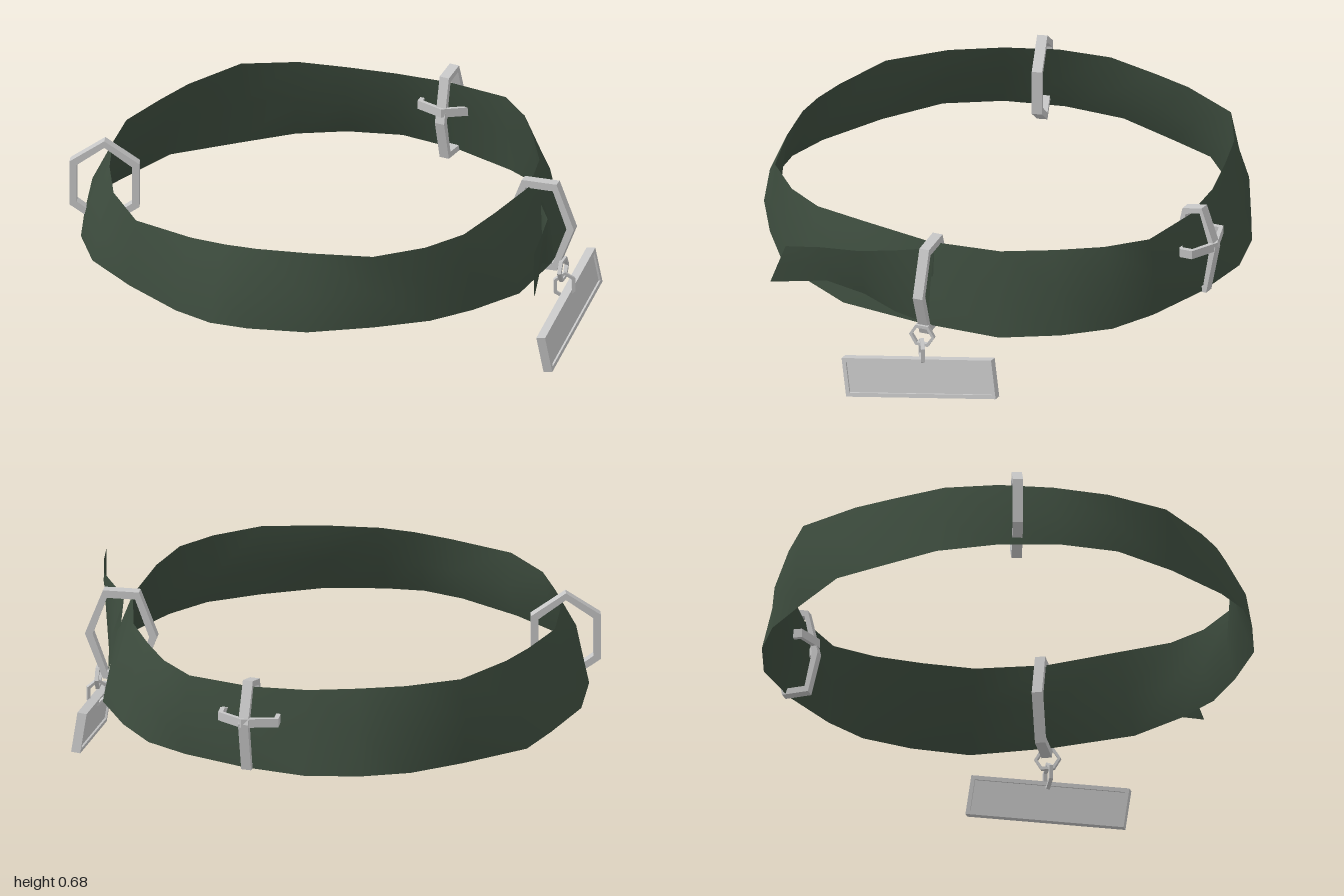
import * as THREE from 'three';

const strap = new THREE.MeshStandardMaterial({ color: 0x3c4b3d });
strap.name = 'dark green fabric';
strap.side = THREE.DoubleSide;
const metal = new THREE.MeshStandardMaterial({ color: 0xc6c6c6 });
metal.name = 'light grey metal';

// Cloth strip from sections [top, outer middle, bottom, inner middle]; outside and inside are smoothed apart.
function clothStrip(name, sections, closed) {
  const pos = [], index = [], n = sections.length;
  for (const [top, out, bottom, inn] of sections)
    for (const p of [top, out, bottom, top, inn, bottom]) pos.push(...p);
  for (let i = 0; i < (closed ? n : n - 1); i++) {
    const a = i * 6, b = ((i + 1) % n) * 6;
    for (const j of [0, 1]) {
      index.push(a + j, b + j, a + j + 1, b + j, b + j + 1, a + j + 1);
      const k = j + 3;
      index.push(a + k, a + k + 1, b + k, b + k, a + k + 1, b + k + 1);
    }
  }
  const g = new THREE.BufferGeometry();
  g.setAttribute('position', new THREE.Float32BufferAttribute(pos, 3));
  g.setIndex(index);
  g.computeVertexNormals();
  const mesh = new THREE.Mesh(g, strap);
  mesh.name = name;
  return mesh;
}

// Flat frame from an outline, with a hole inset by about w, centred on its depth.
function frame(name, pts, w, depth) {
  const shape = new THREE.Shape(pts.map(p => new THREE.Vector2(...p)));
  const xs = pts.map(p => p[0]), ys = pts.map(p => p[1]);
  const x0 = Math.min(...xs), x1 = Math.max(...xs), y0 = Math.min(...ys), y1 = Math.max(...ys);
  const cx = (x0 + x1) / 2, cy = (y0 + y1) / 2;
  const sx = 1 - 2 * w / (x1 - x0), sy = 1 - 2 * w / (y1 - y0);
  shape.holes.push(new THREE.Path(pts.map(([x, y]) =>
    new THREE.Vector2(cx + (x - cx) * sx, cy + (y - cy) * sy)).reverse()));
  const g = new THREE.ExtrudeGeometry(shape, { depth, bevelEnabled: false });
  g.translate(0, 0, -depth / 2);
  const mesh = new THREE.Mesh(g, metal);
  mesh.name = name;
  return mesh;
}

// Six corners of a stretched hexagon.
const hexagon = (rx, ry, turn = 0) => Array.from({ length: 6 }, (_, i) => {
  const a = turn + i * Math.PI / 3;
  return [rx * Math.cos(a), ry * Math.sin(a)];
});

export function createModel() {
  const model = new THREE.Group();
  model.name = 'collar';

  // Band: angle in degrees from +x towards +z, radius of top edge, radius of bottom edge
  const stations = [
    [0, .79, .88], [21, .80, .92], [36, .855, .915], [48, .875, .92], [62, .89, .91],
    [78, .85, .94], [92, .85, .955], [101, .855, .97], [111, .865, .955], [128, .91, .94],
    [144, .885, .97], [158, .86, .97], [172, .86, .97], [186, .87, .975], [201, .855, .955],
    [212, .87, .975], [229, .915, .93], [243, .88, .945], [255, .845, .95], [268, .84, .95],
    [283, .855, .92], [300, .885, .91], [312, .845, .92], [325, .80, .905], [340, .79, .91],
  ];
  const bandSections = stations.map(([deg, rt, rb]) => {
    const a = deg * Math.PI / 180, s = Math.sin(a);
    const yt = .643 + .012 * Math.sin(2 * a + .4) + .005 * Math.sin(5 * a);
    const yb = .338 + .022 * s + .008 * Math.sin(3 * a);
    const rm = (rt + rb) / 2, t = .016, fold = .012 * Math.sin(5 * a);
    const at = (r, y) => [r * Math.cos(a), y, r * s];
    return [at(rt, yt), at(rm + t + fold, .49), at(rb, yb), at(rm - t + fold, .49)];
  });
  model.add(clothStrip('band', bandSections, true));

  // Loose end: top corner and bottom corner of each section
  const tailEdges = [
    [[.82, .64, -.03], [.88, .34, -.03]],
    [[.87, .63, .1], [.90, .38, .1]],
    [[.94, .635, .23], [.915, .44, .22]],
    [[.965, .635, .38], [.955, .49, .36]],
    [[.98, .62, .52], [1.0, .465, .575]],
  ];
  const tailSections = tailEdges.map(([t, b], i) => {
    const mid = t.map((v, k) => (v + b[k]) / 2), h = .014 - .003 * i;
    return [t, [mid[0] + h, mid[1], mid[2]], b, [mid[0] - h, mid[1], mid[2]]];
  });
  model.add(clothStrip('looseEnd', tailSections, false));

  // Hexagonal rings around the band
  const leftRing = frame('leftRing', hexagon(.14, .21), .03, .04);
  leftRing.position.set(.83, .49, -.02);
  model.add(leftRing);

  const rightRing = frame('rightRing', hexagon(.155, .182, Math.PI / 6), .028, .04);
  rightRing.position.set(-.86, .51, .19);
  rightRing.rotation.y = .22;
  model.add(rightRing);

  const backRing = frame('backRing',
    [[-.1, -.02], [-.06, -.18], [.045, -.18], [.085, .02], [.025, .18], [-.06, .16]], .024, .04);
  backRing.position.set(.19, .5, -.87);
  backRing.rotation.y = 1.41;
  model.add(backRing);

  const backCrossRing = frame('backCrossRing',
    [[-.12, -.05], [-.01, -.1], [.12, -.03], [.12, .02], [.02, .085], [-.12, .055]], .018, .035);
  backCrossRing.position.set(.19, .525, -.87);
  backCrossRing.rotation.x = -Math.PI / 2;
  model.add(backCrossRing);

  // Two small links carrying the tag
  const upperLink = frame('upperLink', hexagon(.052, .05), .012, .015);
  upperLink.position.set(.92, .31, -.02);
  upperLink.rotation.y = Math.PI / 2;
  model.add(upperLink);
  const lowerLink = frame('lowerLink', hexagon(.048, .056, Math.PI / 6), .012, .015);
  lowerLink.position.set(.925, .243, -.02);
  lowerLink.rotation.y = .5;
  model.add(lowerLink);

  // Hanging tag: raised rim around a recessed plate
  const tag = new THREE.Group();
  tag.name = 'tag';
  const rim = frame('tagRim', [[-.313, -.078], [.313, -.078], [.313, .078], [-.313, .078]], .016, .036);
  rim.rotation.y = Math.PI / 2;
  const plate = new THREE.Mesh(new THREE.BoxGeometry(.02, .13, .6), metal);
  plate.name = 'tagPlate';
  tag.add(rim, plate);
  tag.position.set(.945, .14, -.022);
  tag.rotation.set(.175, 0, .13);
  model.add(tag);

  return model;
}
